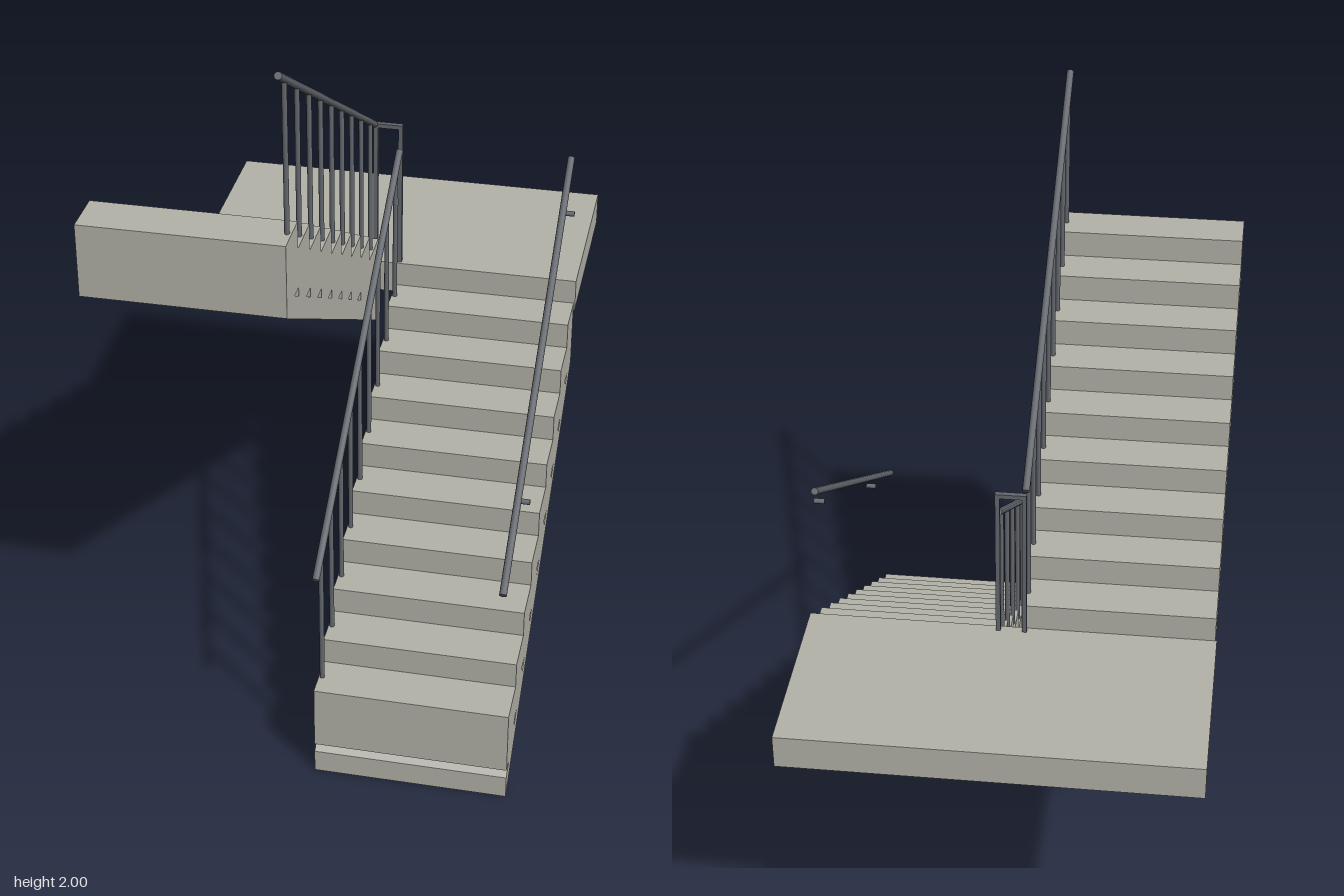
import * as THREE from 'three';

const STEPS = 9, LENGTH = 1.075, RUN = LENGTH / STEPS, RISE = 0.0725;
const WIDTH = 0.502, SLOPE = 0.607, FIRST_TREAD = 0.265;
const SLAB = 0.063, GAP = 0.025;

const concrete = new THREE.MeshStandardMaterial({ color: 0xb2b2a9 });
concrete.name = 'concrete';
const metal = new THREE.MeshStandardMaterial({ color: 0x63676d });
metal.name = 'grey metal';

function add(parent, name, geometry, material) {
  const mesh = new THREE.Mesh(geometry, material);
  mesh.name = name;
  parent.add(mesh);
  return mesh;
}

// Round bar between two points
function bar(parent, name, a, b, radius) {
  const from = new THREE.Vector3(...a), to = new THREE.Vector3(...b);
  const dir = to.clone().sub(from);
  const mesh = add(parent, name, new THREE.CylinderGeometry(radius, radius, dir.length(), 12), metal);
  mesh.position.copy(from).add(to).multiplyScalar(0.5);
  mesh.quaternion.setFromUnitVectors(new THREE.Vector3(0, 1, 0), dir.normalize());
}

// Side profile: sloping soffit, stepped top, and a small wedge gap under every step
function flightGeometry() {
  const gapRun = GAP / SLOPE;
  const shape = new THREE.Shape();
  shape.moveTo(0, 0);
  shape.lineTo(LENGTH, LENGTH * SLOPE);
  for (let i = STEPS - 1; i >= 0; i--) {
    const y = FIRST_TREAD + i * RISE;
    shape.lineTo((i + 1) * RUN, y);
    shape.lineTo(i * RUN, y);
  }
  shape.lineTo(0, SLAB + GAP);
  shape.lineTo(gapRun, SLAB + GAP);
  shape.lineTo(0, SLAB);
  shape.closePath();
  for (let i = 1; i < STEPS; i++) {
    const u = i * RUN, y = SLAB + i * RISE;
    const hole = new THREE.Path();
    hole.moveTo(u, y);
    hole.lineTo(u, y + GAP);
    hole.lineTo(u + gapRun, y + GAP);
    hole.closePath();
    shape.holes.push(hole);
  }
  return new THREE.ExtrudeGeometry(shape, { depth: WIDTH, bevelEnabled: false });
}

// Flight climbing along local +x, with its railing on the inner side (railZ)
function makeFlight(name, railZ) {
  const flight = new THREE.Group();
  flight.name = name;
  add(flight, 'steps', flightGeometry(), concrete);
  const railY = u => 0.621 + u * SLOPE;
  bar(flight, 'handrail', [0, railY(0), railZ], [LENGTH - 0.005, railY(LENGTH - 0.005), railZ], 0.0095);
  for (let i = 0; i < STEPS; i++) {
    const u = (i + 0.5) * RUN;
    bar(flight, 'baluster', [u, FIRST_TREAD + i * RISE, railZ], [u, railY(u), railZ], 0.0065);
  }
  return flight;
}

export function createModel() {
  const model = new THREE.Group();
  model.name = 'staircase';

  // Lower flight climbs to the back, upper flight returns to the front
  const lower = makeFlight('lowerFlight', 0.009);
  lower.rotation.y = Math.PI / 2;
  lower.position.set(0.025, 0, 0.79);
  model.add(lower);

  const upper = makeFlight('upperFlight', 0.011);
  upper.rotation.y = -Math.PI / 2;
  upper.position.set(-0.025, 0.721, -0.285);
  model.add(upper);

  // Half landing
  const landing = add(model, 'landing', new THREE.BoxGeometry(1.062, 0.092, 0.509), concrete);
  landing.position.set(0, 0.869, -0.5385);

  // Hoop joining the two inner railings on the landing
  const hoop = new THREE.Group();
  hoop.name = 'landingHoop';
  for (const x of [-0.034, 0.034]) {
    const post = add(hoop, 'post', new THREE.BoxGeometry(0.012, 0.421, 0.012), metal);
    post.position.set(x, 1.1255, -0.298);
  }
  const top = add(hoop, 'hoopTop', new THREE.BoxGeometry(0.08, 0.012, 0.014), metal);
  top.position.set(0, 1.334, -0.298);
  model.add(hoop);

  // Outer handrail with two wall brackets just below it
  const wallRail = new THREE.Group();
  wallRail.name = 'wallRail';
  bar(wallRail, 'handrail', [0.501, 0.648, 0.79], [0.501, 1.298, -0.28], 0.0095);
  for (const [y, z] of [[0.76, 0.549], [1.191, -0.167]]) {
    bar(wallRail, 'bracket', [0.501, y, z], [0.529, y, z], 0.007);
  }
  model.add(wallRail);

  return model;
}
